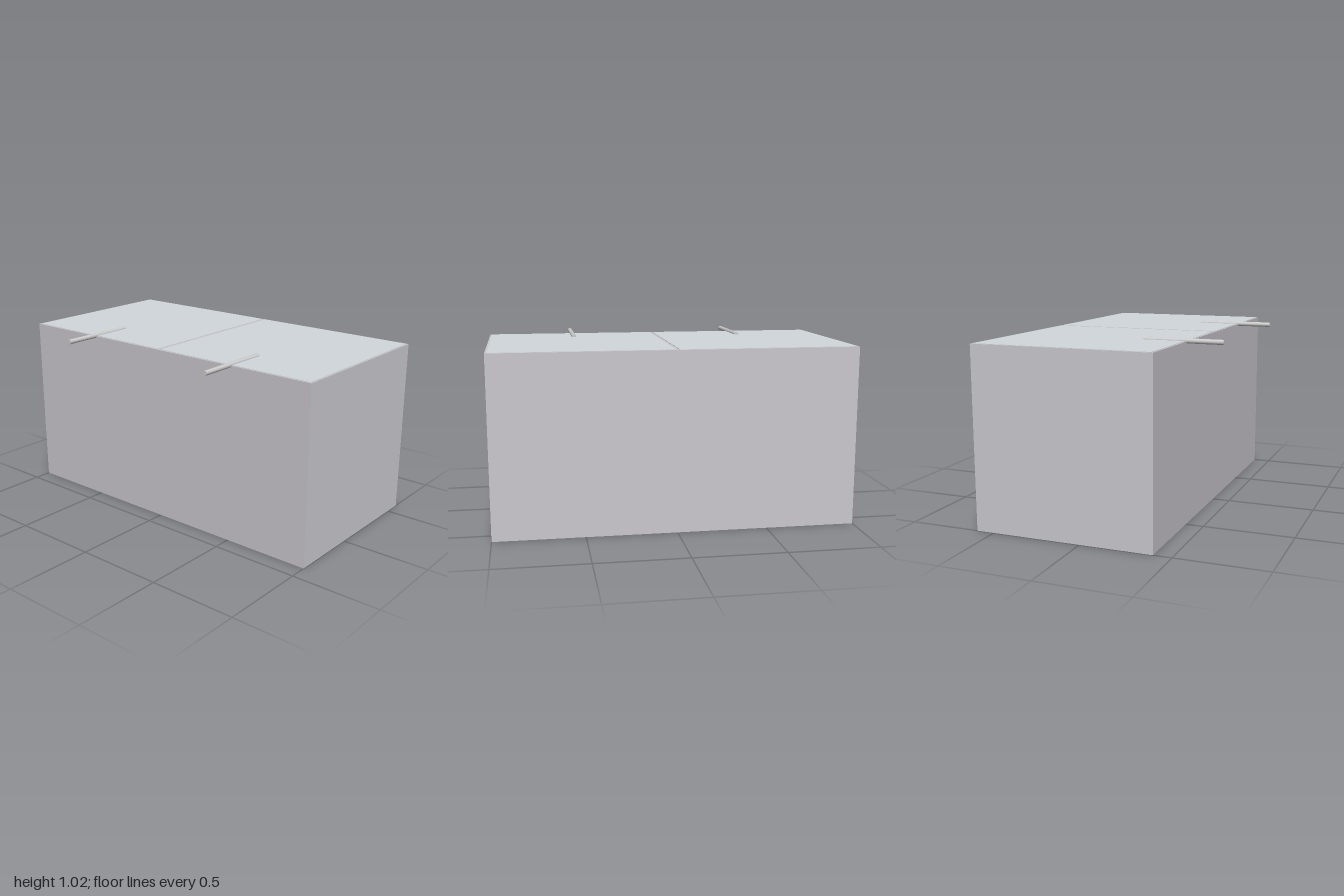
import * as THREE from 'three';

const material = (color) => new THREE.MeshStandardMaterial({ color });

export function createModel() {
  const model = new THREE.Group();
  model.name = 'tank';

  const add = (name, geometry, mat, x, y, z) => {
    const mesh = new THREE.Mesh(geometry, mat);
    mesh.name = name;
    mesh.position.set(x, y, z);
    model.add(mesh);
    return mesh;
  };

  const bodyMaterial = material(0xcac8ce);
  const panelMaterial = material(0xd2d8dc);
  const handleMaterial = material(0xcccccc);

  // Main block, set back so the handles project in front
  add('body', new THREE.BoxGeometry(2, 1, 1), bodyMaterial, 0, 0.5, -0.1);

  // Two lid panels with a narrow seam, each with a handle rod over the front edge
  const panelGeometry = new THREE.BoxGeometry(0.98, 0.004, 0.98);
  const handleGeometry = new THREE.CylinderGeometry(0.0135, 0.0135, 0.445, 16);
  handleGeometry.rotateX(Math.PI / 2);
  for (const [side, label] of [[1, 'left'], [-1, 'right']]) {
    add(label + 'LidPanel', panelGeometry, panelMaterial, side * 0.5, 1, -0.1);
    add(label + 'Handle', handleGeometry, handleMaterial, side * 0.5, 1.002, 0.3775);
  }

  return model;
}
